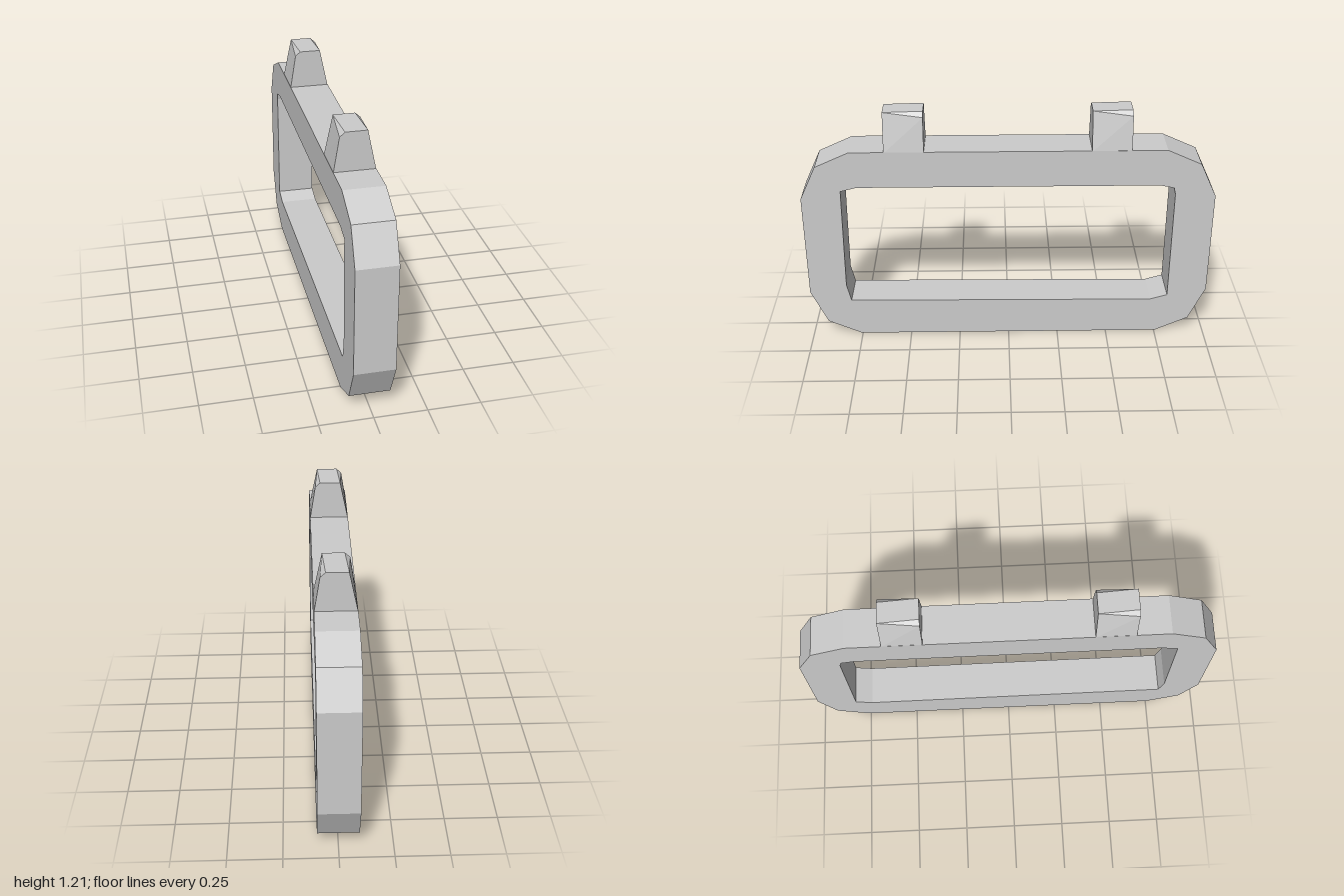
import * as THREE from 'three';
import { ConvexGeometry } from 'three/addons/geometries/ConvexGeometry.js';

const HALF = 0.096; // half thickness of the frame

export function createModel() {
  const group = new THREE.Group();
  const material = new THREE.MeshStandardMaterial({ color: 0xcccccc, flatShading: true });
  const points = (list) => list.map(([z, y]) => new THREE.Vector2(z, y));

  // Chamfered loop with a rectangular opening, drawn in (z, y)
  const side = [[0.755, 0], [0.92, 0.075], [1, 0.25], [1, 0.78], [0.92, 0.95], [0.755, 1.025]];
  const mirrored = side.map(([z, y]) => [-z, y]).reverse();
  const shape = new THREE.Shape(points([...side, ...mirrored]));
  shape.holes.push(new THREE.Path(points([
    [0.795, 0.2], [0.815, 0.29], [0.807, 0.82], [0.73, 0.84],
    [-0.73, 0.84], [-0.797, 0.825], [-0.805, 0.79], [-0.805, 0.215], [-0.72, 0.19],
  ])));
  const frameGeometry = new THREE.ExtrudeGeometry(shape, { depth: 2 * HALF, bevelEnabled: false });
  frameGeometry.rotateY(-Math.PI / 2).translate(HALF, 0, 0);
  const frame = new THREE.Mesh(frameGeometry, material);
  frame.name = 'frame';
  group.add(frame);

  // Tapered lug; each upper edge is cut by a chamfer that runs out at one end.
  // The lug is unchanged by a half turn about its vertical axis.
  const half = 0.095;
  const corners = [];
  for (const s of [1, -1]) {
    corners.push(
      new THREE.Vector3(s * HALF, 1.02, s * half),
      new THREE.Vector3(s * HALF, 1.02, -s * half),
      new THREE.Vector3(s * 0.056, 1.212, s * half),
      new THREE.Vector3(s * 0.069, 1.19, -s * half),
      new THREE.Vector3(s * 0.045, 1.212, -s * half),
    );
  }
  const lugGeometry = new ConvexGeometry(corners);
  for (const [name, z] of [['frontLug', 0.495], ['backLug', -0.49]]) {
    const lug = new THREE.Mesh(lugGeometry, material);
    lug.name = name;
    lug.position.z = z;
    group.add(lug);
  }
  return group;
}
